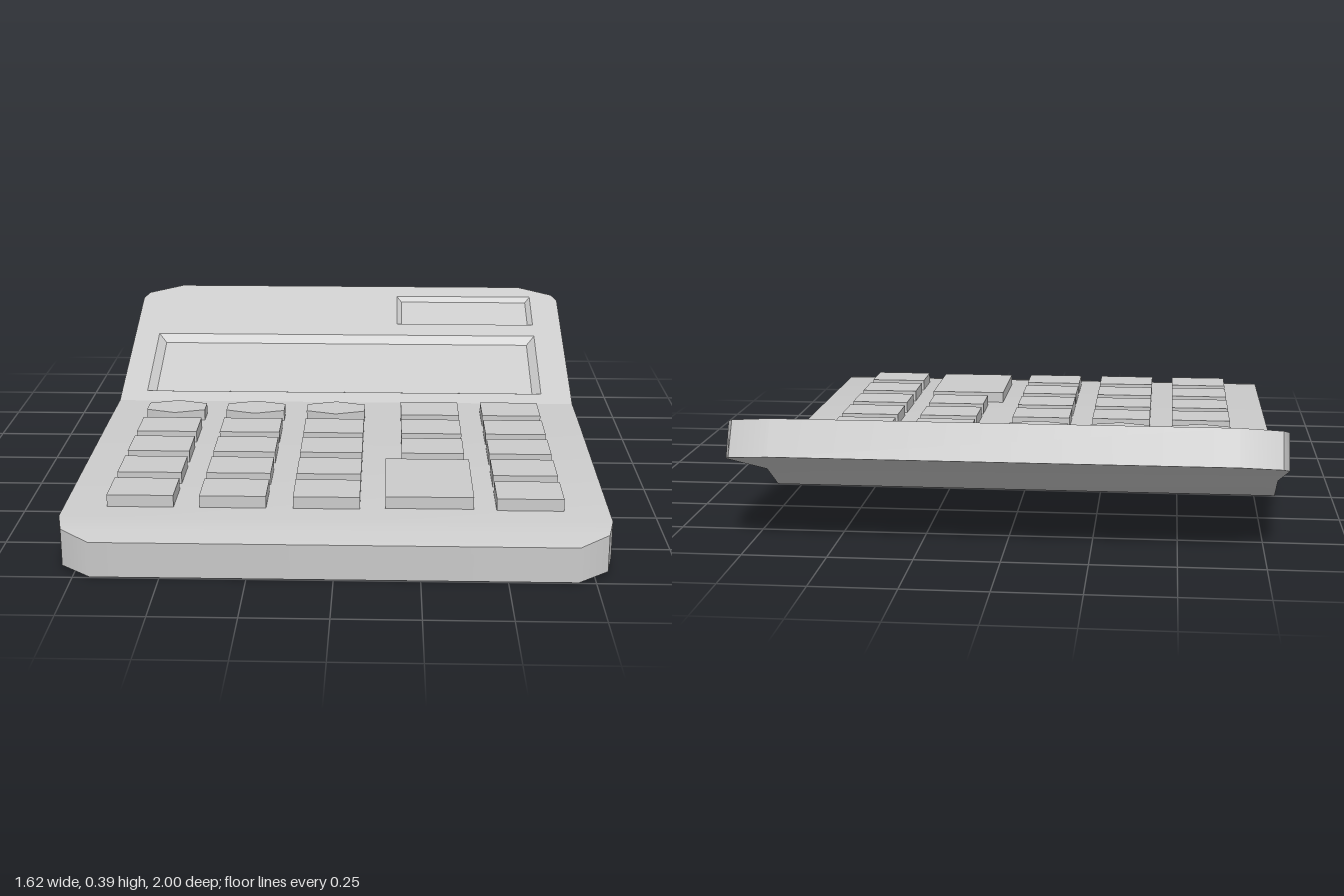
import * as THREE from 'three';
import { toCreasedNormals } from 'three/addons/utils/BufferGeometryUtils.js';

const material = new THREE.MeshStandardMaterial({ color: 0xcccccc });
const HINGE = { y: 0.14, z: -0.235 };
const TILT = Math.atan(0.359);

// cross-sections front to back: top z, top y, bottom z, bottom y, half width
const slopeY = z => HINGE.y + (HINGE.z - z) * Math.tan(TILT);
const sections = [
  [1, 0.112, 1, 0.005, 0.7],
  [0.94, 0.127, 0.94, 0.014, 0.79],
  [0.87, 0.14, 0.87, 0.028, 0.807],
  [-0.05, 0.14, -0.05, 0.028, 0.812],
  [-0.15, 0.14, -0.2, 0.003, 0.812],
  [HINGE.z, HINGE.y, -0.32, 0.024, 0.812],
  [-0.33, slopeY(-0.33), -0.45, 0.11, 0.812],
  [-0.86, slopeY(-0.86), -0.905, 0.263, 0.81],
  [-0.895, slopeY(-0.895), -0.95, 0.278, 0.79],
  [-0.945, slopeY(-0.945), -1, 0.295, 0.665],
];
const HINGE_SECTION = 5;

function mesh(name, geometry) {
  const m = new THREE.Mesh(geometry, material);
  m.name = name;
  return m;
}

function fromIndexed(points, index) {
  const g = new THREE.BufferGeometry();
  g.setAttribute('position', new THREE.Float32BufferAttribute(points, 3));
  g.setIndex(index);
  return toCreasedNormals(g, 0.6);
}

// shell: sides, underside, front, back and the flat keypad deck
function shellGeometry() {
  const points = [], index = [];
  const quad = (a, b, c, d) => index.push(a, b, c, a, c, d);
  for (const [zt, yt, zb, yb, w] of sections) {
    points.push(-w, yt, zt, w, yt, zt, w, yb, zb, -w, yb, zb);
  }
  const last = sections.length - 1;
  for (let i = 0; i < last; i++) {
    const a = i * 4, b = a + 4;
    for (let k = 0; k < 4; k++) {
      if (k === 0 && i >= HINGE_SECTION) continue; // the display panel closes this part
      const n = (k + 1) % 4;
      quad(a + k, a + n, b + n, b + k);
    }
  }
  quad(3, 2, 1, 0);
  const e = last * 4;
  quad(e, e + 1, e + 2, e + 3);
  return fromIndexed(points, index);
}

// sunken tray with sloping walls, in the panel's own plane
function trayGeometry({ x0, x1, s0, s1, inset, depth }) {
  const i = inset, d = -depth;
  const points = [
    x0, s0, 0, x1, s0, 0, x1, s1, 0, x0, s1, 0,
    x0 + i, s0 + i, d, x1 - i, s0 + i, d, x1 - i, s1 - i, d, x0 + i, s1 - i, d,
  ];
  const index = [4, 5, 6, 4, 6, 7];
  for (let k = 0; k < 4; k++) {
    const n = (k + 1) % 4;
    index.push(k, n, n + 4, k, n + 4, k + 4);
  }
  return fromIndexed(points, index);
}

// tilted panel with two trays
function displayPanel() {
  const along = z => (HINGE.z - z) / Math.cos(TILT);
  const trays = [
    { name: 'screen', x0: -0.72, x1: 0.705, s0: along(-0.29), s1: along(-0.63), inset: 0.029, depth: 0.022 },
    { name: 'solarCell', x0: 0.185, x1: 0.705, s0: along(-0.7), s1: along(-0.88), inset: 0.018, depth: 0.015 },
  ];
  const rim = sections.slice(HINGE_SECTION);
  const shape = new THREE.Shape([
    ...rim.map(s => new THREE.Vector2(s[4], along(s[0]))),
    ...rim.map(s => new THREE.Vector2(-s[4], along(s[0]))).reverse(),
  ]);
  for (const { x0, x1, s0, s1 } of trays) {
    shape.holes.push(new THREE.Path([
      new THREE.Vector2(x0, s0), new THREE.Vector2(x0, s1),
      new THREE.Vector2(x1, s1), new THREE.Vector2(x1, s0),
    ]));
  }
  const panel = new THREE.Group();
  panel.name = 'displayPanel';
  panel.add(mesh('panelFace', new THREE.ShapeGeometry(shape)));
  trays.forEach(t => panel.add(mesh(t.name, trayGeometry(t))));
  panel.position.set(0, HINGE.y, HINGE.z);
  panel.rotation.x = TILT - Math.PI / 2;
  return panel;
}

// keys stand slightly sunk in the deck
const KEY_BASE = 0.13, KEY_TOP = 0.177;

function squareKey(name, x, z, w, d) {
  const key = mesh(name, new THREE.BoxGeometry(w, KEY_TOP - KEY_BASE, d));
  key.position.set(x, (KEY_BASE + KEY_TOP) / 2, z);
  return key;
}

function hexKey(x, z) {
  const outline = [[0.1, -0.036], [0.1, 0.036], [0, 0.07], [-0.1, 0.036], [-0.1, -0.036], [0, -0.07]];
  const shape = new THREE.Shape(outline.map(p => new THREE.Vector2(...p)));
  const g = new THREE.ExtrudeGeometry(shape, { depth: KEY_TOP - KEY_BASE, bevelEnabled: false });
  g.rotateX(-Math.PI / 2);
  const key = mesh('functionKey', toCreasedNormals(g, 0.9));
  key.position.set(x, KEY_BASE, z);
  return key;
}

function keypad() {
  const pad = new THREE.Group();
  pad.name = 'keypad';
  const columns = [-0.58, -0.305, -0.027, 0.297, 0.575];
  const rows = [-0.057, 0.137, 0.33, 0.525, 0.72];
  rows.forEach((z, r) => columns.forEach((x, c) => {
    if (c === 3 && r >= 3) return; // space for the large key
    pad.add(r === 0 && c < 3 ? hexKey(x, z) : squareKey('key', x, z, 0.198, 0.146));
  }));
  pad.add(squareKey('largeKey', 0.278, 0.62, 0.262, 0.33));
  return pad;
}

export function createModel() {
  const model = new THREE.Group();
  model.name = 'calculator';
  model.add(mesh('shell', shellGeometry()), displayPanel(), keypad());
  return model;
}
